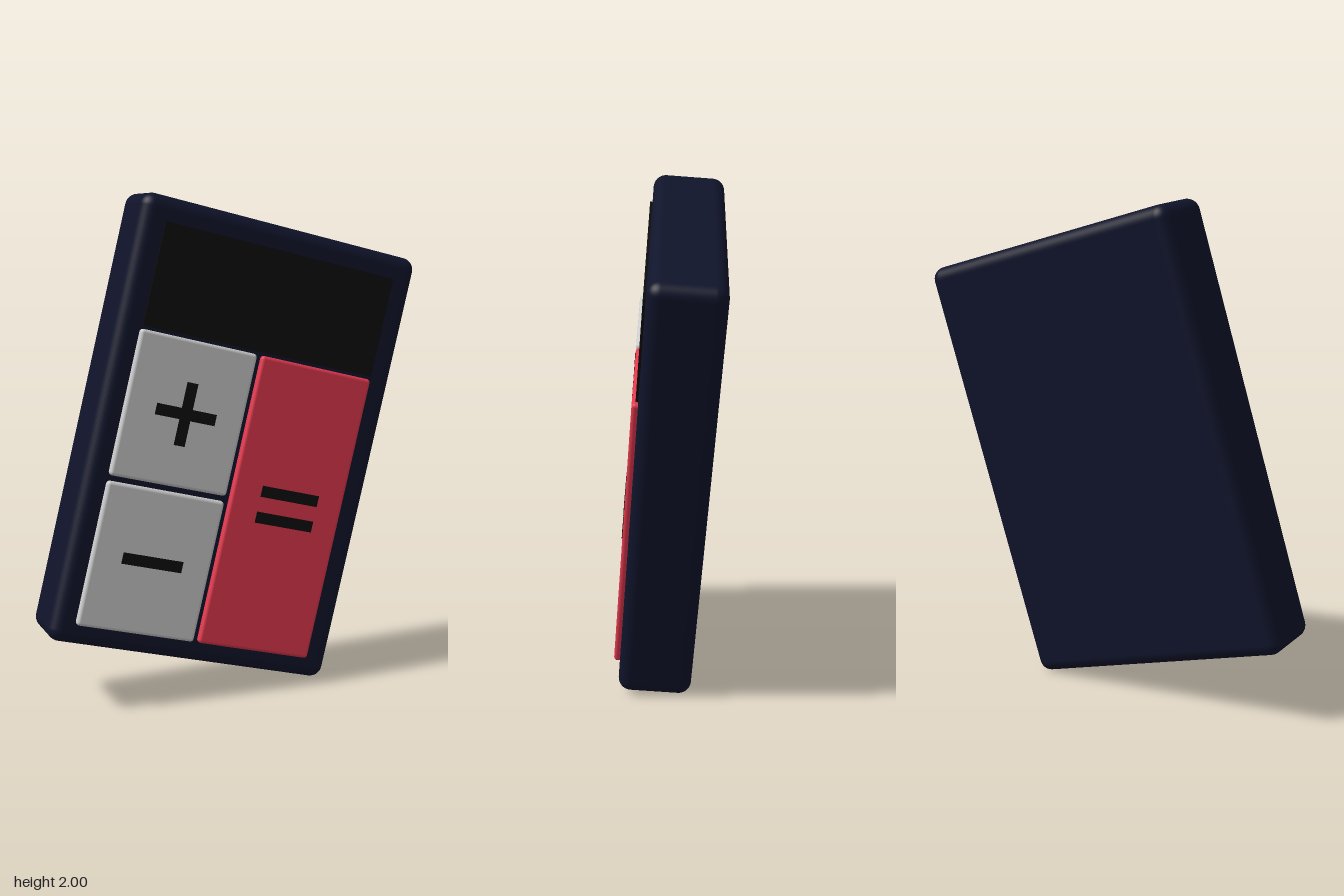
import * as THREE from 'three';
import { RoundedBoxGeometry } from 'three/addons/geometries/RoundedBoxGeometry.js';

const paint = (color) => new THREE.MeshStandardMaterial({ color });

export function createModel() {
  const model = new THREE.Group();
  model.name = 'calculator';

  // everything is built upright around the origin, then tilted as one piece
  const tilted = new THREE.Group();
  tilted.name = 'tiltedCalculator';
  tilted.rotation.set(-0.075, 0.541, -0.262, 'YXZ');
  tilted.position.y = 1;
  model.add(tilted);

  const navy = paint(0x10142b);
  const black = paint(0x0d0d0d);
  const grey = paint(0xcccccc);
  const red = paint(0xe2384e);

  const W = 1.19, H = 1.77, D = 0.29;
  const face = D / 2;      // front of the case
  const keyTop = 0.169;    // front of the keys

  function add(name, geometry, material, x, y, z) {
    const mesh = new THREE.Mesh(geometry, material);
    mesh.name = name;
    mesh.position.set(x, y, z);
    tilted.add(mesh);
  }

  // softly rounded case
  add('case', new RoundedBoxGeometry(W, H, D, 5, 0.05), navy, 0, 0, 0);

  // display panel, slightly proud of the case
  add('screen', new THREE.BoxGeometry(0.99, 0.405, 0.03), black, 0, 0.585, face - 0.005);

  // rounded key given by its left, right, bottom and top edges
  function key(name, x0, x1, y0, y1, material) {
    const depth = 0.06;
    add(name, new RoundedBoxGeometry(x1 - x0, y1 - y0, depth, 3, 0.014), material,
      (x0 + x1) / 2, (y0 + y1) / 2, keyTop - depth / 2);
  }
  key('plusKey', -0.502, -0.012, -0.205, 0.37, grey);
  key('minusKey', -0.502, -0.012, -0.802, -0.227, grey);
  key('equalsKey', 0.008, 0.494, -0.802, 0.37, red);

  // thin bars marking the keys
  function bar(name, x, y, w, h) {
    add(name, new THREE.BoxGeometry(w, h, 0.006), black, x, y, keyTop);
  }
  const long = 0.25, thick = 0.045;
  bar('plusBarAcross', -0.253, 0.082, long, thick);
  bar('plusBarUp', -0.253, 0.082, thick, long);
  bar('minusBar', -0.255, -0.512, long, thick);
  for (const side of [-1, 1]) bar('equalsBar', 0.255, -0.21 + side * 0.053, long, thick);

  return model;
}
